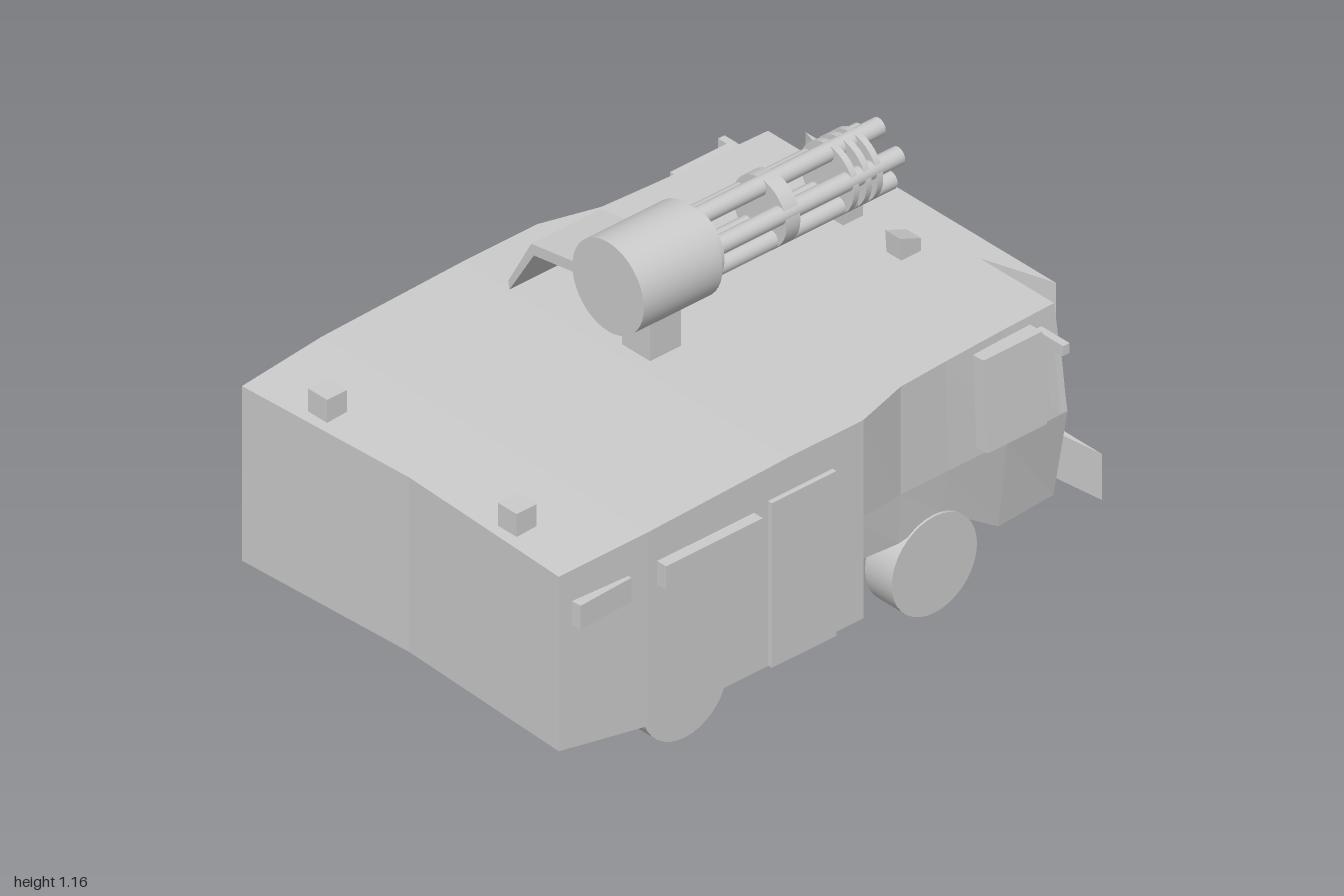
import * as THREE from 'three';

const mat = new THREE.MeshStandardMaterial({ color: 0xcccccc, side: THREE.DoubleSide });
const flat = new THREE.MeshStandardMaterial({ color: 0xcccccc, side: THREE.DoubleSide, flatShading: true });

function add(parent, name, geo, material = flat) {
  const mesh = new THREE.Mesh(geo, material);
  mesh.name = name;
  parent.add(mesh);
  return mesh;
}

// Box given by its limits
function box(parent, name, x0, x1, y0, y1, z0, z1) {
  const m = add(parent, name, new THREE.BoxGeometry(x1 - x0, y1 - y0, z1 - z0));
  m.position.set((x0 + x1) / 2, (y0 + y1) / 2, (z0 + z1) / 2);
  return m;
}

function extrude(points, depth) {
  const shape = new THREE.Shape(points.map(([a, b]) => new THREE.Vector2(a, b)));
  return new THREE.ExtrudeGeometry(shape, { depth, bevelEnabled: false });
}

// Plan outline [x, z] raised from y0 to y1
function planPart(parent, name, pts, y0, y1) {
  const geo = extrude(pts.map(([x, z]) => [x, -z]), y1 - y0);
  return add(parent, name, geo.rotateX(-Math.PI / 2).translate(0, y0, 0));
}

// Side outline [z, y] swept from x0 to x1
function sidePart(parent, name, pts, x0, x1) {
  const geo = extrude(pts.map(([z, y]) => [-z, y]), x1 - x0);
  return add(parent, name, geo.rotateY(Math.PI / 2).translate(x0, 0, 0));
}

// Cylinder along z between z0 and z1
function rod(parent, name, x, y, r, z0, z1, sides) {
  const geo = new THREE.CylinderGeometry(r, r, z1 - z0, sides).rotateX(Math.PI / 2);
  const m = add(parent, name, geo, mat);
  m.position.set(x, y, (z0 + z1) / 2);
  return m;
}

// Hull lofted through cross-sections running along z
function hullGeometry() {
  // [roof z, lower z, bottom y, roof y, bottom, waist and roof half widths, centre z shift]
  const sections = [
    [1, 1, 0.19, 0.74, 0.62, 0.62, 0.62, -0.03],
    [0.7, 0.7, 0.145, 0.755, 0.637, 0.637, 0.637, 0],
    [0.2, 0.2, 0.145, 0.77, 0.637, 0.637, 0.637, 0],
    [-0.07, -0.07, 0.145, 0.77, 0.637, 0.637, 0.637, 0],
    [-0.07, -0.07, 0.29, 0.77, 0.585, 0.6, 0.637, 0],
    [-0.25, -0.25, 0.27, 0.77, 0.575, 0.585, 0.585, 0],
    [-0.42, -0.42, 0.29, 0.77, 0.57, 0.585, 0.575, 0],
    [-0.63, -0.63, 0.145, 0.77, 0.55, 0.585, 0.565, 0],
    [-0.82, -0.845, 0.14, 0.77, 0.53, 0.585, 0.56, 0],
  ];
  const pos = [], idx = [], n = 8;
  for (const [zt, zb, yb, yt, wb, wm, wt, dz] of sections) {
    pos.push(wb, yb, zb, wm, 0.43, zb, wt, yt, zt, 0, yt, zt + dz,
      -wt, yt, zt, -wm, 0.43, zb, -wb, yb, zb, 0, yb, zb + dz);
  }
  for (let i = 0; i < sections.length - 1; i++) {
    for (let j = 0; j < n; j++) {
      const a = i * n + j, b = i * n + (j + 1) % n;
      idx.push(a, a + n, b, b, a + n, b + n);
    }
  }
  const e = (sections.length - 1) * n;
  for (let j = 0; j < n - 2; j++) {
    idx.push(7, j, j + 1, e + 7, e + j + 1, e + j);
  }
  const geo = new THREE.BufferGeometry();
  geo.setAttribute('position', new THREE.Float32BufferAttribute(pos, 3));
  geo.setIndex(idx);
  const out = geo.toNonIndexed();
  out.computeVertexNormals();
  return out;
}

function buildGun() {
  const gun = new THREE.Group();
  gun.name = 'rotaryGun';
  const x = -0.005, y = 1.022;
  box(gun, 'gunMount', -0.06, 0.05, 0.76, 0.9, 0.045, 0.155);
  rod(gun, 'gunDrum', x, y, 0.14, -0.025, 0.255, 40);
  rod(gun, 'gunCollar', x, y, 0.11, -0.06, -0.02, 32);
  for (let i = 0; i < 5; i++) {
    const a = i * Math.PI * 2 / 5;
    rod(gun, 'barrel', x + Math.sin(a) * 0.08, y + Math.cos(a) * 0.08, 0.027, -0.71, -0.04, 16);
  }
  for (const [z0, z1] of [[-0.335, -0.285], [-0.545, -0.525], [-0.59, -0.57], [-0.63, -0.61]]) {
    rod(gun, 'barrelBand', x, y, 0.105, z0, z1, 32);
  }
  // Bent feed chute from drum down to the roof
  const chute = [[-0.13, 1.02], [-0.33, 0.99], [-0.42, 0.83], [-0.415, 0.805], [-0.32, 0.958], [-0.13, 0.987]];
  add(gun, 'feedChute', extrude(chute, 0.25).translate(0, 0, -0.017));
  return gun;
}

export function createModel() {
  const model = new THREE.Group();
  model.name = 'armouredVehicle';
  add(model, 'hull', hullGeometry());

  // Windscreen plate, front blade and its brackets
  planPart(model, 'windscreen', [[-0.2, -0.8], [0.2, -0.8], [0.49, -0.89], [-0.49, -0.89]], 0.43, 0.769);
  planPart(model, 'frontBlade', [[-0.17, -0.955], [0.17, -0.955], [0.55, -1], [-0.55, -1]], 0.065, 0.21);
  for (const [x0, x1] of [[-0.17, -0.07], [0.07, 0.17]]) {
    sidePart(model, 'bladeBracket', [[-0.83, 0.31], [-0.96, 0.21], [-0.96, 0.065], [-0.82, 0.145]], x0, x1);
  }
  sidePart(model, 'bladeCentreBracket', [[-0.83, 0.29], [-0.96, 0.19], [-0.96, 0.08], [-0.82, 0.145]], -0.07, 0.07);

  // Arched guard between the front wheels
  sidePart(model, 'underGuard', [[-0.07, 0.16], [-0.12, 0.1], [-0.24, 0.2], [-0.45, 0.22],
    [-0.63, 0.08], [-0.67, 0.145], [-0.44, 0.28], [-0.24, 0.265]], -0.175, 0.175);
  box(model, 'bellyHatch', -0.175, -0.065, 0.13, 0.16, 0.28, 0.7);

  // Wheels
  for (const z of [0.515, -0.375]) {
    for (const [x0, x1] of [[-0.56, -0.435], [0.475, 0.58]]) {
      const geo = new THREE.CylinderGeometry(0.152, 0.152, x1 - x0, 36).rotateZ(Math.PI / 2);
      add(model, 'wheel', geo, mat).position.set((x0 + x1) / 2, 0.152, z);
    }
  }

  // Side door and vents, standing further out on the left side
  box(model, 'sideDoor', 0.6, 0.652, 0.146, 0.665, 0.04, 0.27);
  box(model, 'sideVent', 0.62, 0.672, 0.575, 0.65, 0.32, 0.665);
  box(model, 'sideVent', -0.65, -0.62, 0.575, 0.65, 0.32, 0.665);
  box(model, 'rearVent', 0.6, 0.65, 0.57, 0.645, 0.765, 0.955).rotation.y = 0.05;
  box(model, 'rearVent', -0.642, -0.6, 0.57, 0.645, 0.765, 0.955).rotation.y = -0.05;

  // Cab side windows and mirrors
  for (const s of [-1, 1]) {
    const lim = (a, b) => (s > 0 ? [a, b] : [-b, -a]);
    box(model, 'cabSideWindow', ...lim(0.55, 0.622), 0.46, 0.745, -0.73, -0.52).rotation.z = s * 0.06;
    box(model, 'mirrorArm', ...lim(0.55, 0.675), 0.69, 0.722, -0.77, -0.747);
    add(model, 'mirror', extrude([[0.605, 0.7], [0.64, 0.7], [0.665, 0.505], [0.625, 0.51]].map(([x, y]) => [s * x, y]), 0.023)
      .translate(0, 0, -0.77));
  }

  // Roof lamps
  for (const x of [-0.148, 0.08]) {
    sidePart(model, 'frontRoofLamp', [[-0.66, 0.765], [-0.73, 0.765], [-0.73, 0.81], [-0.655, 0.84]], x, x + 0.058);
  }
  for (const x of [-0.41, 0.332]) box(model, 'rearRoofLamp', x, x + 0.074, 0.735, 0.814, 0.885, 0.955);

  model.add(buildGun());
  return model;
}
